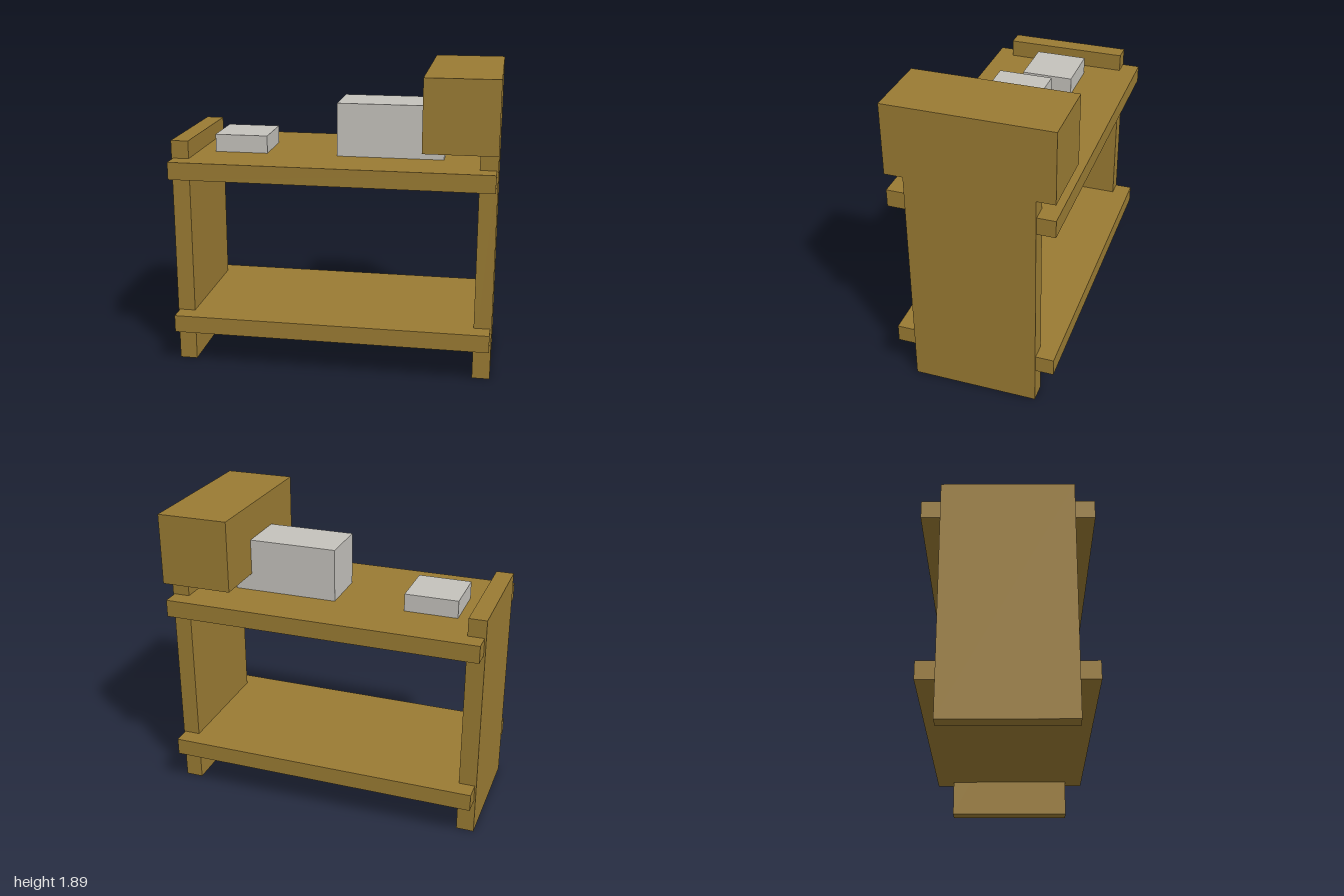
import * as THREE from 'three';

export function createModel() {
  const model = new THREE.Group();
  model.name = 'workbench';

  const wood = new THREE.MeshStandardMaterial({ color: 0x9a7b33 });
  wood.name = 'wood';
  const metal = new THREE.MeshStandardMaterial({ color: 0xc4c2bc });
  metal.name = 'pale metal';

  // Box given by its extents along each axis
  function block(name, material, [x0, x1], [y0, y1], [z0, z1]) {
    const mesh = new THREE.Mesh(new THREE.BoxGeometry(x1 - x0, y1 - y0, z1 - z0), material);
    mesh.position.set((x0 + x1) / 2, (y0 + y1) / 2, (z0 + z1) / 2);
    mesh.name = name;
    model.add(mesh);
  }

  // Upright end panels
  block('rightPanel', wood, [-1, -0.89], [0, 1.446], [-0.389, 0.387]);
  block('leftPanel', wood, [0.89, 1], [0, 1.446], [-0.389, 0.387]);

  // Shelf and worktop, overhanging the panels front and back
  block('lowerShelf', wood, [-0.99, 0.99], [0.226, 0.335], [-0.5, 0.5]);
  block('worktop', wood, [-0.99, 0.99], [1.226, 1.335], [-0.5, 0.5]);

  // Large head block on top of the left panel
  block('headBlock', wood, [0.556, 1], [1.446, 1.89], [-0.5, 0.5]);

  // Pale blocks resting on the worktop
  block('smallBlock', metal, [-0.78, -0.446], [1.335, 1.446], [-0.166, 0.163]);
  block('largeBlock', metal, [0, 0.665], [1.335, 1.668], [-0.166, 0.163]);

  return model;
}
